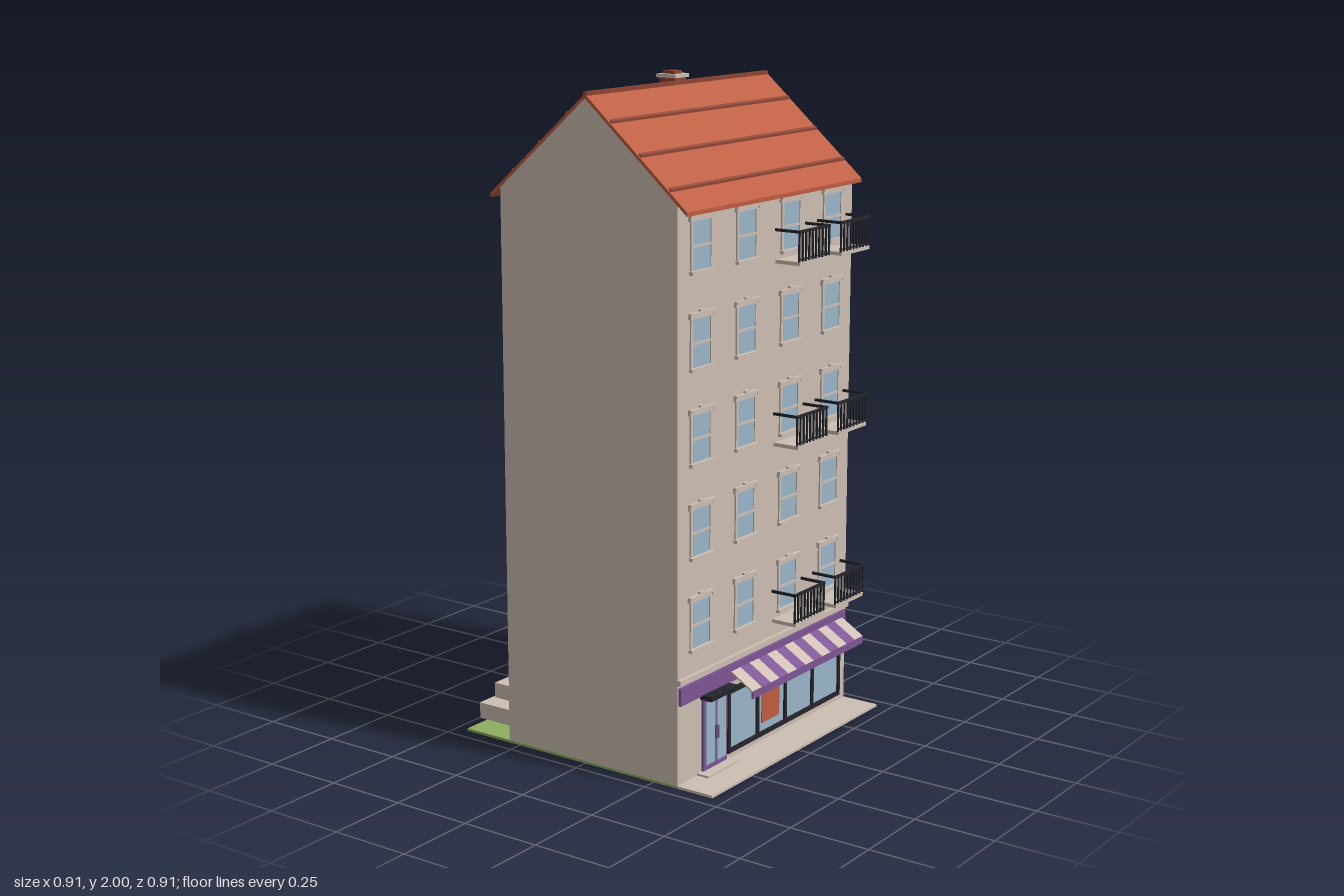
import * as THREE from 'three';

const mat = (name, color) => Object.assign(new THREE.MeshStandardMaterial({ color }), { name });
const M = {
  stone: mat('stone', 0xcdbfb3),
  roof: mat('roofTile', 0xbd5d40),
  brick: mat('brick', 0x8c4433),
  glass: mat('glass', 0x9ab5c9),
  iron: mat('iron', 0x24262c),
  purple: mat('purple', 0x7d5594),
  lawn: mat('lawn', 0x8fae62),
  gold: mat('goldLeaf', 0xb8963f),
  leaf: mat('greenLeaf', 0x86b268),
  bark: mat('bark', 0x57392a),
};
M.gold.flatShading = M.leaf.flatShading = true;

// Box given by its limits on each axis
function box(parent, name, m, x0, x1, y0, y1, z0, z1) {
  const mesh = new THREE.Mesh(new THREE.BoxGeometry(x1 - x0, y1 - y0, z1 - z0), m);
  mesh.position.set((x0 + x1) / 2, (y0 + y1) / 2, (z0 + z1) / 2);
  mesh.name = name;
  parent.add(mesh);
  return mesh;
}

// Prism along x with a [z, y] cross-section
function prism(parent, name, m, pts, x0, x1) {
  const shape = new THREE.Shape(pts.map(([z, y]) => new THREE.Vector2(z, y)));
  const geo = new THREE.ExtrudeGeometry(shape, { depth: x1 - x0, bevelEnabled: false });
  geo.rotateY(-Math.PI / 2).translate(x1, 0, 0);
  const mesh = new THREE.Mesh(geo, m);
  mesh.name = name;
  parent.add(mesh);
}

function group(parent, name, x = 0, y = 0, z = 0) {
  const g = new THREE.Group();
  g.name = name;
  g.position.set(x, y, z);
  parent.add(g);
  return g;
}

const W = 0.457, FRONT = 0.335, BACK = -0.29;
const RIDGE_Z = 0.02, RIDGE_Y = 1.973, SLOPE = 0.87;
const roofY = (d) => RIDGE_Y - SLOPE * d;

// Window facing +z
function addWindow(parent, x, y, z, front) {
  const g = group(parent, 'window', x, y, z);
  const w = front ? 0.043 : 0.036;
  box(g, 'windowGlass', M.glass, -w, w, -0.07, 0.068, -0.003, 0.002);
  for (const s of [-1, 1]) {
    const c = s * (w + 0.005);
    box(g, 'windowJamb', M.stone, c - 0.005, c + 0.005, -0.07, 0.072, -0.003, 0.005);
  }
  box(g, 'windowSill', M.stone, -w - 0.013, w + 0.013, -0.081, -0.071, -0.003, 0.012);
  box(g, 'windowHead', M.stone, -w - 0.01, w + 0.01, 0.068, 0.078, -0.003, 0.007);
  if (!front) return g;
  box(g, 'windowRail', M.stone, -w, w, -0.006, 0.001, 0, 0.005);
  box(g, 'lintel', M.stone, -0.06, 0.06, 0.078, 0.086, -0.003, 0.011);
  box(g, 'keystone', M.stone, -0.011, 0.011, 0.086, 0.092, -0.003, 0.009);
  for (const s of [-1, 1]) box(g, 'lintelBracket', M.stone, s * 0.056 - 0.005, s * 0.056 + 0.005, 0.069, 0.078, -0.003, 0.009);
  return g;
}

function addBalcony(parent, x, y) {
  const g = group(parent, 'balcony', x, y, FRONT);
  box(g, 'balconyFloor', M.stone, -0.08, 0.08, -0.105, -0.094, 0, 0.085);
  box(g, 'frontRail', M.iron, -0.085, 0.085, -0.01, -0.002, 0.079, 0.086);
  box(g, 'lowerRail', M.iron, -0.083, 0.083, -0.089, -0.085, 0.08, 0.085);
  for (const s of [-1, 1]) box(g, 'sideRail', M.iron, s * 0.081 - 0.003, s * 0.081 + 0.003, -0.01, -0.002, 0, 0.086);
  for (let i = 0; i < 10; i++) {
    const bx = -0.081 + i * 0.018;
    box(g, 'baluster', M.iron, bx - 0.0025, bx + 0.0025, -0.094, -0.008, 0.08, 0.085);
  }
}

function addTree(parent, x, m) {
  const g = group(parent, 'tree', x, 0, -0.372);
  const trunk = new THREE.Mesh(new THREE.CylinderGeometry(0.006, 0.007, 0.13, 6), M.bark);
  trunk.position.y = 0.067;
  trunk.name = 'trunk';
  const crown = new THREE.Mesh(new THREE.IcosahedronGeometry(0.05, 0), m);
  crown.position.y = 0.165;
  crown.name = 'crown';
  g.add(trunk, crown);
}

export function createModel() {
  const root = new THREE.Group();
  root.name = 'apartmentHouse';

  // Ground plates
  box(root, 'lawn', M.lawn, -W, W, 0, 0.008, -W, FRONT);
  box(root, 'pavement', M.stone, -W, W, 0, 0.008, FRONT, W);

  // Walls with gables
  const wallTop = (z) => roofY(Math.abs(z - RIDGE_Z)) - 0.012;
  prism(root, 'walls', M.stone, [[BACK, 0.004], [FRONT, 0.004], [FRONT, wallTop(FRONT)],
    [RIDGE_Z, wallTop(RIDGE_Z)], [BACK, wallTop(BACK)]], -W + 0.001, W - 0.001);

  // Roof slopes and their battens
  const roof = group(root, 'roof');
  for (const s of [-1, 1]) {
    const strip = (name, m, d0, d1, low, high) => {
      const pts = [[d0, low], [d1, low], [d1, high], [d0, high]].map(([d, h]) => [RIDGE_Z + s * d, roofY(d) + h]);
      prism(roof, name, m, s > 0 ? pts : pts.reverse(), name === 'roofSlope' ? -W : -0.452, name === 'roofSlope' ? W : 0.452);
    };
    strip('roofSlope', M.roof, 0, 0.347, -0.012, 0);
    for (const d of [0.07, 0.17, 0.27]) {
      const c = s > 0 ? d + 0.016 : d;
      strip('roofBatten', M.brick, c - 0.003, c + 0.003, -0.002, 0.007);
    }
  }
  box(roof, 'ridgeCap', M.brick, -W, W, 1.962, 1.979, 0.012, 0.026);

  // Chimney
  const chimney = group(root, 'chimney', 0.076, 0, -0.063);
  box(chimney, 'chimneyShaft', M.brick, -0.028, 0.028, 1.85, 1.982, -0.028, 0.028);
  box(chimney, 'chimneyCap', M.stone, -0.035, 0.035, 1.98, 1.991, -0.035, 0.035);
  box(chimney, 'chimneyPot', M.brick, -0.02, 0.02, 1.99, 2, -0.02, 0.02);

  // Windows and balconies
  const columns = [-0.345, -0.119, 0.113, 0.342];
  for (let row = 0; row < 5; row++) {
    const y = 0.475 + row * 0.2735;
    columns.forEach((x, i) => {
      addWindow(root, x, y, FRONT, true);
      if (i > 1 && row % 2 === 0) addBalcony(root, x, y);
    });
    for (const x of [-0.305, 0, 0.305]) addWindow(root, x, y, BACK, false).rotation.y = Math.PI;
  }

  // Shop front
  const shop = group(root, 'shopFront');
  box(shop, 'cornice', M.stone, -W, W, 0.312, 0.328, FRONT, 0.347);
  box(shop, 'signBand', M.purple, -0.452, 0.447, 0.25, 0.303, FRONT, 0.344);
  box(shop, 'shopGlass', M.glass, -0.205, 0.417, 0.03, 0.225, FRONT - 0.003, 0.338);
  for (const x of [-0.203, -0.05, 0.103, 0.257, 0.413]) {
    box(shop, 'shopMullion', M.iron, x - 0.006, x + 0.006, 0.03, 0.225, FRONT, 0.344);
  }
  box(shop, 'shopBottomRail', M.iron, -0.209, 0.419, 0.028, 0.042, FRONT, 0.344);
  box(shop, 'shopTopRail', M.iron, -0.209, 0.419, 0.213, 0.228, FRONT, 0.344);
  box(shop, 'poster', M.roof, -0.025, 0.07, 0.068, 0.183, FRONT, 0.341);

  // Striped awning with front valance
  const awning = group(root, 'awning');
  const n = 13, x0 = -0.196, sw = 0.622 / n;
  for (let i = 0; i < n; i++) {
    prism(awning, 'awningStripe', i % 2 ? M.purple : M.stone,
      [[0.34, 0.28], [0.42, 0.232], [0.42, 0.237], [0.34, 0.285]], x0 + i * sw, x0 + (i + 1) * sw);
  }
  box(awning, 'awningValance', M.purple, x0, x0 + 0.622, 0.213, 0.236, 0.415, 0.421);

  // Entrance
  const door = group(root, 'entrance');
  box(door, 'doorFrame', M.purple, -0.335, -0.213, 0.008, 0.238, FRONT, 0.342);
  for (const x of [-0.302, -0.246]) {
    box(door, 'doorGlass', M.glass, x - 0.022, x + 0.022, 0.03, 0.222, 0.34, 0.345);
    const hx = x < -0.27 ? -0.279 : -0.269;
    box(door, 'doorHandle', M.purple, hx - 0.003, hx + 0.003, 0.1, 0.14, 0.342, 0.351);
  }
  box(door, 'doorCanopy', M.iron, -0.344, -0.208, 0.238, 0.252, FRONT, 0.376);
  box(door, 'doorStep', M.stone, -0.357, -0.197, 0.004, 0.014, FRONT, 0.375);

  // Back door
  box(root, 'backDoor', M.lawn, -0.055, 0.055, 0.008, 0.24, BACK - 0.007, BACK);

  // Trees
  addTree(root, 0.063, M.gold);
  addTree(root, 0.208, M.leaf);
  addTree(root, 0.355, M.gold);

  // Parked car
  const car = group(root, 'car');
  box(car, 'carBody', M.stone, -0.402, -0.039, 0.027, 0.077, -0.452, -0.295);
  box(car, 'carCabin', M.stone, -0.34, -0.139, 0.077, 0.125, -0.443, -0.303);
  for (const x of [-0.335, -0.107]) {
    for (const z of [-0.447, -0.3]) {
      box(car, 'wheel', M.iron, x - 0.028, x + 0.028, 0.008, 0.062, z - 0.01, z + 0.01);
    }
  }
  return root;
}
